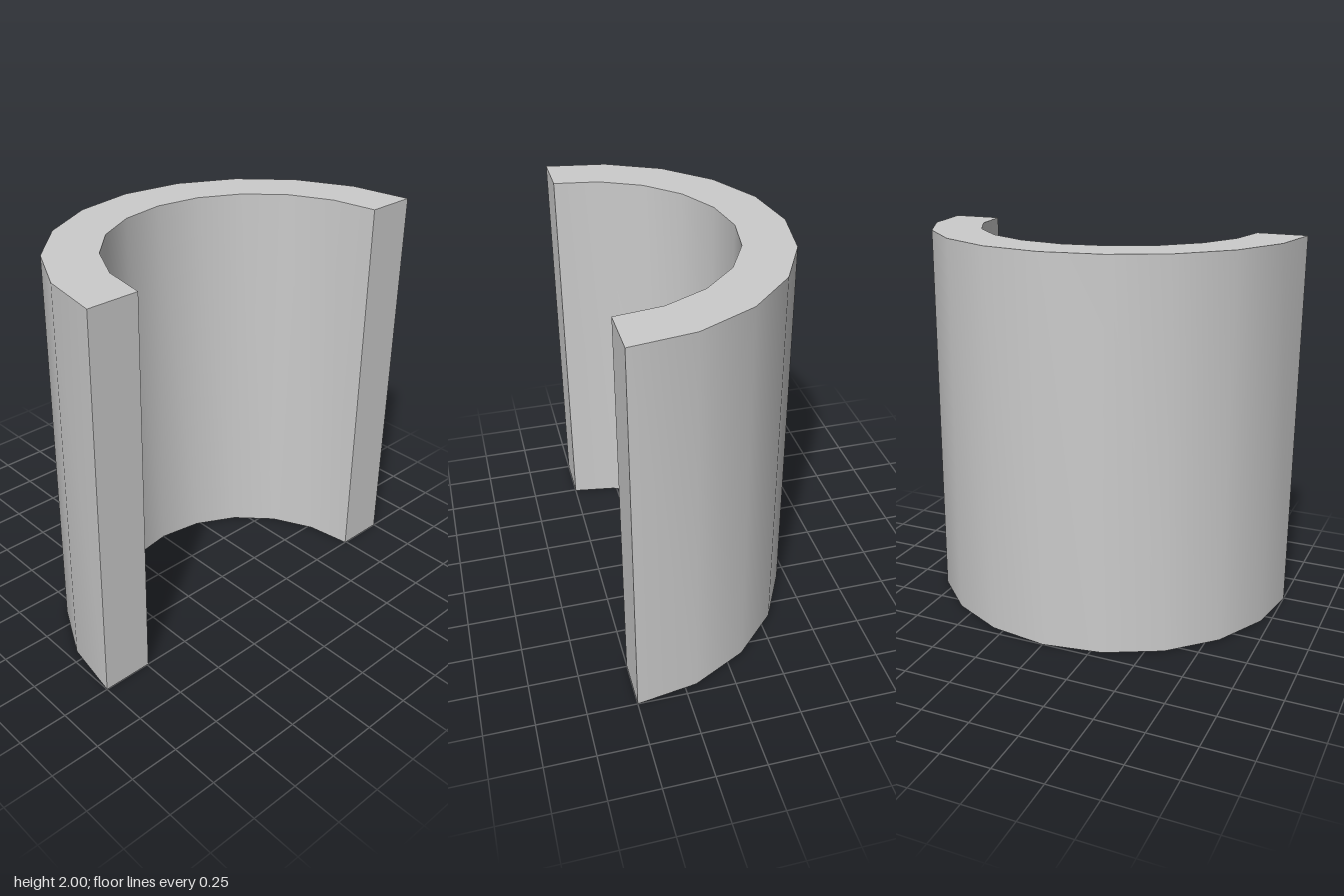
import * as THREE from 'three';
import { toCreasedNormals } from 'three/addons/utils/BufferGeometryUtils.js';

const SEGMENTS = 10;

// points along a half ellipse, from +x round to -x
function halfArc(rx, ry) {
  return Array.from({ length: SEGMENTS + 1 }, (_, i) => {
    const a = (i / SEGMENTS) * Math.PI;
    return new THREE.Vector2(rx * Math.cos(a), ry * Math.sin(a));
  });
}

export function createModel() {
  const group = new THREE.Group();
  group.name = 'halfPipe';

  // half-ring section: outer arc out, inner arc back
  const section = new THREE.Shape([...halfArc(1, 1), ...halfArc(0.742, 0.747).reverse()]);
  const extruded = new THREE.ExtrudeGeometry(section, { depth: 2, bevelEnabled: false });
  extruded.rotateX(-Math.PI / 2); // stand upright, opening towards +z
  extruded.translate(0, 0, 0.5);

  // smooth round the curve, sharp at the rims and end faces
  const wall = new THREE.Mesh(
    toCreasedNormals(extruded, Math.PI / 6),
    new THREE.MeshStandardMaterial({ color: 0xcccccc })
  );
  wall.name = 'curvedWall';
  group.add(wall);
  return group;
}
